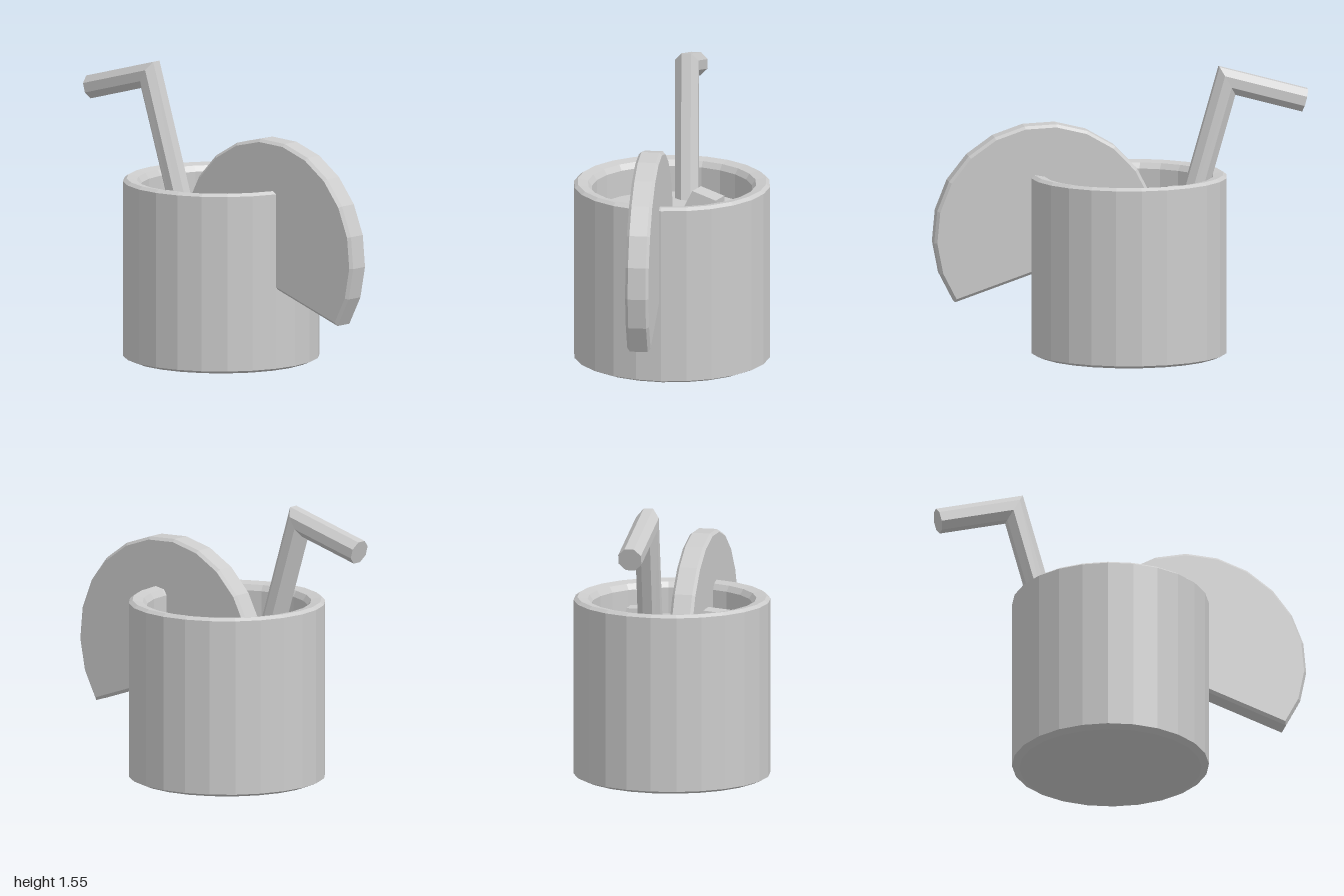
import * as THREE from 'three';

const material = new THREE.MeshStandardMaterial({ color: 0xcccccc, flatShading: true });

function addPart(group, name, geometry) {
  const mesh = new THREE.Mesh(geometry, material);
  mesh.name = name;
  group.add(mesh);
  return mesh;
}

function lathe(points, sides) {
  return new THREE.LatheGeometry(points.map(([r, y]) => new THREE.Vector2(r, y)), sides);
}

// Bent tube with a mitred elbow: path points lie in the plane z-y, x drifts slightly
function bentTube(path, radius, sides) {
  const pts = path.map((p) => new THREE.Vector3(...p));
  const dirs = pts.slice(1).map((p, i) => p.clone().sub(pts[i]).normalize());
  const pos = [], index = [];
  pts.forEach((p, i) => {
    const a = dirs[Math.max(i - 1, 0)], b = dirs[Math.min(i, dirs.length - 1)];
    const tangent = a.clone().add(b).normalize();
    const side = new THREE.Vector3(1, 0, 0);
    const up = new THREE.Vector3().crossVectors(tangent, side).normalize();
    const stretch = 1 / tangent.dot(a);
    for (let k = 0; k < sides; k++) {
      const t = ((k + 0.5) / sides) * Math.PI * 2;
      const v = p.clone().addScaledVector(side, radius * Math.cos(t))
        .addScaledVector(up, radius * stretch * Math.sin(t));
      pos.push(v.x, v.y, v.z);
    }
  });
  for (let i = 0; i < pts.length - 1; i++) {
    for (let k = 0; k < sides; k++) {
      const n = (k + 1) % sides, a = i * sides + k, b = i * sides + n;
      // side x up points against the tangent's handedness: wind so faces look outward
      index.push(a, b, b + sides, a, b + sides, a + sides);
    }
  }
  // end caps
  const last = (pts.length - 1) * sides;
  for (let k = 1; k < sides - 1; k++) {
    index.push(0, k + 1, k);
    index.push(last, last + k, last + k + 1);
  }
  const g = new THREE.BufferGeometry();
  g.setAttribute('position', new THREE.Float32BufferAttribute(pos, 3));
  g.setIndex(index);
  // orient all faces outward whatever the frame's handedness
  const t = dirs[0], s = new THREE.Vector3(1, 0, 0);
  const u = new THREE.Vector3().crossVectors(t, s);
  if (new THREE.Vector3().crossVectors(s, u).dot(t) < 0) g.setIndex(index.reverse());
  g.computeVertexNormals();
  return g;
}

export function createModel() {
  const model = new THREE.Group();
  model.name = 'drink';
  const centreZ = -0.042;

  // Glass: chamfered base, straight wall, thick rim and inner wall
  const glass = addPart(model, 'glass', lathe([
    [0, 0.005], [0.485, 0.005], [0.525, 0.022], [0.525, 0.965],
    [0.505, 0.98], [0.45, 0.97], [0.43, 0.94], [0.43, 0.76],
  ], 24));
  glass.position.z = centreZ;

  // Drink surface
  const drink = addPart(model, 'drink surface', new THREE.CircleGeometry(0.435, 24).rotateX(-Math.PI / 2));
  drink.position.set(0, 0.8, centreZ);

  // Ice: tapered blocks poking out of the drink
  const ice = new THREE.Group();
  ice.name = 'ice cubes';
  model.add(ice);
  [
    // x, z, width, depth, turn, tilt
    [-0.13, -0.32, 0.2, 0.14, 0.05, 0.05],
    [0.16, -0.19, 0.2, 0.16, -0.35, -0.25],
    [0.19, 0.12, 0.23, 0.14, 0, 0],
    [-0.205, 0.125, 0.18, 0.16, -0.05, 0.08],
  ].forEach(([x, z, w, d, turn, tilt], i) => {
    const g = new THREE.BoxGeometry(w, 0.16, d);
    const p = g.attributes.position;
    for (let k = 0; k < p.count; k++) {
      if (p.getY(k) > 0) p.setXYZ(k, p.getX(k) * 0.72, p.getY(k), p.getZ(k) * 0.65);
    }
    g.computeVertexNormals();
    const cube = addPart(ice, 'ice cube ' + (i + 1), g);
    cube.position.set(x, 0.8, z);
    cube.rotation.set(0, turn, tilt);
  });

  // Fruit slice: half disc with a slanted straight edge, hung on the rim
  const shape = new THREE.Shape();
  const start = -0.62, end = Math.PI - 0.05, steps = 13;
  for (let i = 0; i <= steps; i++) {
    const t = start + ((end - start) * i) / steps;
    const x = 0.4 + 0.602 * Math.cos(t), y = 0.65 + 0.602 * Math.sin(t);
    if (i === 0) shape.moveTo(x, y);
    else shape.lineTo(x, y);
  }
  shape.closePath();
  const slice = new THREE.ExtrudeGeometry(shape, {
    depth: 0.095, bevelEnabled: true, bevelSegments: 1,
    bevelThickness: 0.015, bevelSize: 0.015, bevelOffset: -0.015,
  });
  slice.rotateY(-Math.PI / 2);
  slice.translate(-0.025, 0, 0);
  addPart(model, 'fruit slice', slice);

  // Straw: leaning stem with a bent top
  addPart(model, 'straw', bentTube(
    [[0.045, 0.72, -0.345], [0.022, 1.475, -0.565], [0.022, 1.362, -0.982]], 0.067, 8));

  return model;
}
